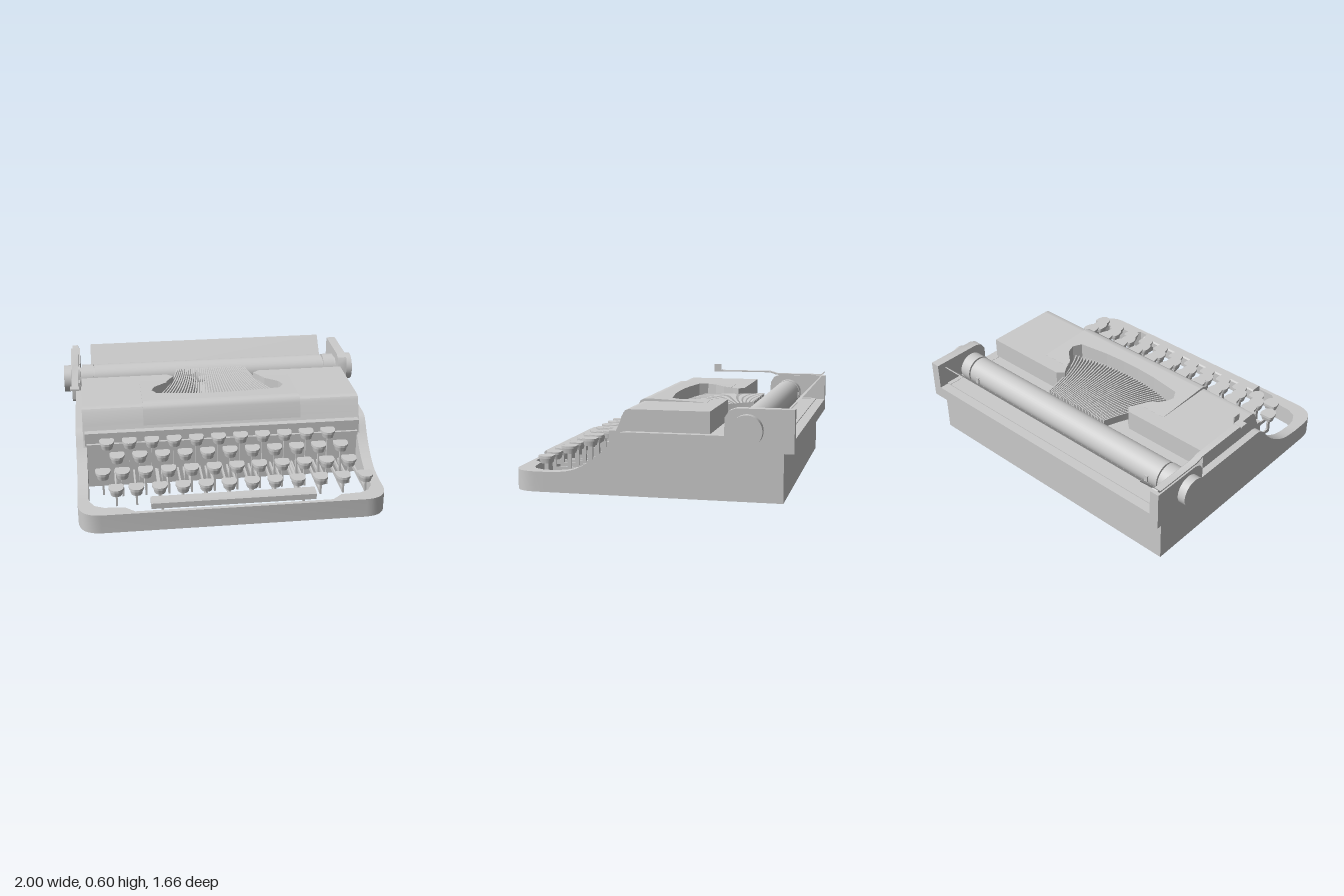
import * as THREE from 'three';
import { toCreasedNormals } from 'three/addons/utils/BufferGeometryUtils.js';

const grey = new THREE.MeshStandardMaterial({ color: 0xcccccc });
const thin = new THREE.MeshStandardMaterial({ color: 0xcccccc, side: THREE.DoubleSide });

export function createModel() {
  const model = new THREE.Group();

  const add = (name, geometry, parent = model, material = grey) => {
    const mesh = new THREE.Mesh(geometry, material);
    mesh.name = name;
    parent.add(mesh);
    return mesh;
  };
  // Box given by its limits
  const box = (name, x0, x1, y0, y1, z0, z1, parent) =>
    add(name, new THREE.BoxGeometry(x1 - x0, y1 - y0, z1 - z0)
      .translate((x0 + x1) / 2, (y0 + y1) / 2, (z0 + z1) / 2), parent);
  const toShape = (pts) => new THREE.Shape(pts.map(([a, b]) => new THREE.Vector2(a, b)));
  // Side profile of [z, y] points, extruded from x0 to x1
  const sideExtrude = (pts, x0, x1) => toCreasedNormals(
    new THREE.ExtrudeGeometry(toShape(pts), { depth: x1 - x0, bevelEnabled: false })
      .rotateY(-Math.PI / 2).translate(x1, 0, 0), 0.6);
  // Plan shape in (x, z), extruded from y0 up to y1
  const planExtrude = (shape, y0, y1) =>
    new THREE.ExtrudeGeometry(shape, { depth: y1 - y0, bevelEnabled: false, curveSegments: 8 })
      .rotateX(Math.PI / 2).translate(0, y1, 0);
  // Half outline completed by its mirror image
  const mirrored = (half) => [...half, ...half.map(([x, z]) => [-x, z]).reverse()];
  const reshape = (g, rule) => {
    const p = g.attributes.position, v = new THREE.Vector3();
    for (let i = 0; i < p.count; i++) {
      rule(v.fromBufferAttribute(p, i));
      p.setXYZ(i, v.x, v.y, v.z);
    }
    g.computeVertexNormals();
    return g;
  };

  // Body and swept side walls
  box('body', -0.87, 0.87, 0, 0.368, -0.77, 0.25);
  const sweep = new THREE.SplineCurve([[0.58, 0.12], [0.48, 0.132], [0.4, 0.163], [0.32, 0.215],
    [0.26, 0.27], [0.21, 0.33], [0.175, 0.362], [0.14, 0.37]].map((p) => new THREE.Vector2(...p)))
    .getPoints(24).map((p) => [p.x, p.y]);
  const wall = [[0.62, 0], [0.62, 0.12], ...sweep, [-0.77, 0.37], [-0.77, 0]];
  add('rightWall', sideExtrude(wall, -0.925, -0.86));
  add('leftWall', sideExtrude(wall, 0.86, 0.925));

  // Front frame around the keyboard
  const frame = new THREE.Shape();
  frame.moveTo(0.925, 0.62);
  frame.lineTo(0.925, 0.69);
  frame.quadraticCurveTo(0.92, 0.825, 0.79, 0.83);
  frame.lineTo(-0.79, 0.83);
  frame.quadraticCurveTo(-0.92, 0.825, -0.925, 0.69);
  frame.lineTo(-0.925, 0.62);
  const inner = [[0.59, 0.805], [0.65, 0.75], [0.77, 0.742], [0.825, 0.715], [0.855, 0.66], [0.86, 0.62]];
  [...inner.map(([x, z]) => [-x, z]).reverse(), ...inner].forEach(([x, z]) => frame.lineTo(x, z));
  add('frontFrame', toCreasedNormals(planExtrude(frame, 0, 0.12), 0.6));

  // Hood with the type basket opening
  const opening = [[0.33, -0.2], [0.41, -0.13], [0.43, -0.07], [0.4, -0.015], [0.2, 0.012], [0.06, 0.02]];
  const hood = mirrored([[0.88, 0.11], [0.88, -0.345], [0.31, -0.345], [0.27, -0.31], [0.3, -0.265], ...opening]);
  add('hoodTop', planExtrude(toShape(hood), 0.365, 0.497));
  const hoodFront = [[0.255, 0.275], [0.235, 0.31], [0.19, 0.4], [0.16, 0.475], [0.148, 0.491], [0.13, 0.497],
    [0.11, 0.497], [0.11, 0.275]];
  add('hoodFront', sideExtrude(hoodFront, -0.88, 0.88));
  // Raised centre panel, tapering away toward the back
  const centre = mirrored([[0.5, 0.11], [0.5, -0.25], [0.31, -0.25], ...opening]);
  add('hoodCentre', reshape(planExtrude(toShape(centre), 0.48, 0.5), (v) => {
    if (v.y > 0.49) v.y = 0.498 + 0.015 * (v.z + 0.25) / 0.36;
  }));
  add('hoodCentreFront', sideExtrude([[0.2, 0.385], [0.172, 0.478], [0.16, 0.5], [0.14, 0.511], [0.11, 0.513],
    [0.11, 0.385]], -0.5, 0.5));
  box('hoodLip', -0.86, 0.86, 0.275, 0.3, 0.22, 0.268);

  // Fan of type bars
  const typeBars = new THREE.Group();
  typeBars.name = 'typeBars';
  model.add(typeBars);
  const count = 38;
  for (let i = 0; i < count; i++) {
    const s = (i / (count - 1)) * 2 - 1;
    const length = 0.49 - 0.06 * s * s;
    add('typeBar', reshape(new THREE.BoxGeometry(0.009, 0.05, 1, 1, 1, 8), (v) => {
      const t = v.z + 0.5;
      v.x += s * (0.23 + 0.08 * t + 0.1 * t * t);
      v.y += 0.45 - 0.035 * t;
      v.z = -0.49 + t * length;
    }), typeBars);
  }

  // Carriage: base, ends, roller, knobs and paper table
  const carriage = new THREE.Group();
  carriage.name = 'carriage';
  model.add(carriage);
  box('carriageBase', -0.95, 0.95, 0.285, 0.362, -0.83, -0.46, carriage);
  const end = [[-0.44, 0.305], [-0.46, 0.285], [-0.83, 0.285], [-0.83, 0.53], [-0.505, 0.53], [-0.465, 0.515],
    [-0.44, 0.475]];
  const rod = (name, r, x0, x1) => add(name, new THREE.CylinderGeometry(r, r, x1 - x0, 40)
    .rotateZ(Math.PI / 2).translate((x0 + x1) / 2, 0.41, -0.57), carriage);
  for (const side of [-1, 1]) {
    const span = (a, b) => (side > 0 ? [a, b] : [-b, -a]);
    add('carriageEnd', sideExtrude(end, ...span(0.89, 0.95)), carriage);
    rod('knob', 0.09, ...span(0.95, 1));
    rod('rollerCap', 0.09, ...span(0.8, 0.875));
    box('paperClip', ...span(0.705, 0.73), 0.39, 0.43, -0.665, -0.475, carriage);
  }
  rod('roller', 0.088, -0.79, 0.79);
  rod('axle', 0.07, -0.9, 0.9);
  add('paperTable', sideExtrude([[-0.83, 0.555], [-0.822, 0.555], [-0.64, 0.36], [-0.65, 0.355]],
    -0.815, 0.815), carriage, thin);

  // Carriage return lever
  add('returnLever', sideExtrude([[-0.825, 0.55], [-0.805, 0.53], [-0.48, 0.53], [-0.43, 0.546], [-0.03, 0.546],
    [-0.03, 0.554], [-0.435, 0.554], [-0.485, 0.539], [-0.8, 0.539], [-0.82, 0.556]], -0.94, -0.9));
  box('leverPad', -0.95, -0.885, 0.546, 0.556, -0.075, -0.025);
  box('leverTab', -0.893, -0.885, 0.55, 0.6, -0.075, -0.025);

  // Keys on stems and levers
  const cap = new THREE.Shape();
  cap.moveTo(-0.03, -0.045);
  cap.lineTo(0.03, -0.045);
  cap.quadraticCurveTo(0.048, -0.045, 0.046, -0.01);
  cap.quadraticCurveTo(0.04, 0.047, 0, 0.047);
  cap.quadraticCurveTo(-0.04, 0.047, -0.046, -0.01);
  cap.quadraticCurveTo(-0.048, -0.045, -0.03, -0.045);
  const rim = toCreasedNormals(planExtrude(cap, -0.015, 0), 0.6);
  const cup = toCreasedNormals(reshape(planExtrude(cap, -0.045, -0.015), (v) => {
    const k = v.y < -0.03 ? 0.76 : 0.9;
    v.x *= k;
    v.z *= k;
  }), 0.6);
  const keys = new THREE.Group();
  keys.name = 'keys';
  model.add(keys);
  const addKey = (x, y, z) => {
    const key = new THREE.Group();
    key.name = 'key';
    keys.add(key);
    add('keyTop', rim, key).position.set(x, y, z);
    add('keyCup', cup, key).position.set(x, y, z);
    box('keyStem', x - 0.006, x + 0.006, 0.08, y - 0.04, z - 0.012, z + 0.012, key);
    box('keyLever', x - 0.005, x + 0.005, 0.08, 0.105, 0.24, z, key);
  };
  const rows = [[-0.735, 0.335, 0.3], [-0.677, 0.295, 0.413], [-0.65, 0.25, 0.533], [-0.573, 0.2, 0.65]];
  for (const [x, y, z] of rows) for (let i = 0; i < 11; i++) addKey(x + i * 0.1395, y, z);
  addKey(-0.693, 0.2, 0.65);
  addKey(-0.768, 0.235, 0.503);

  // Space bar and its arms
  add('spaceBar', sideExtrude([[0.71, 0.12], [0.71, 0.155], [0.718, 0.165], [0.78, 0.165], [0.79, 0.155],
    [0.79, 0.12]], -0.495, 0.49));
  for (const x of [-0.425, 0.425]) {
    box('spaceBarArm', x - 0.007, x + 0.007, 0.07, 0.1, 0.24, 0.74);
    box('spaceBarPost', x - 0.007, x + 0.007, 0.07, 0.13, 0.71, 0.74);
  }
  return model;
}
